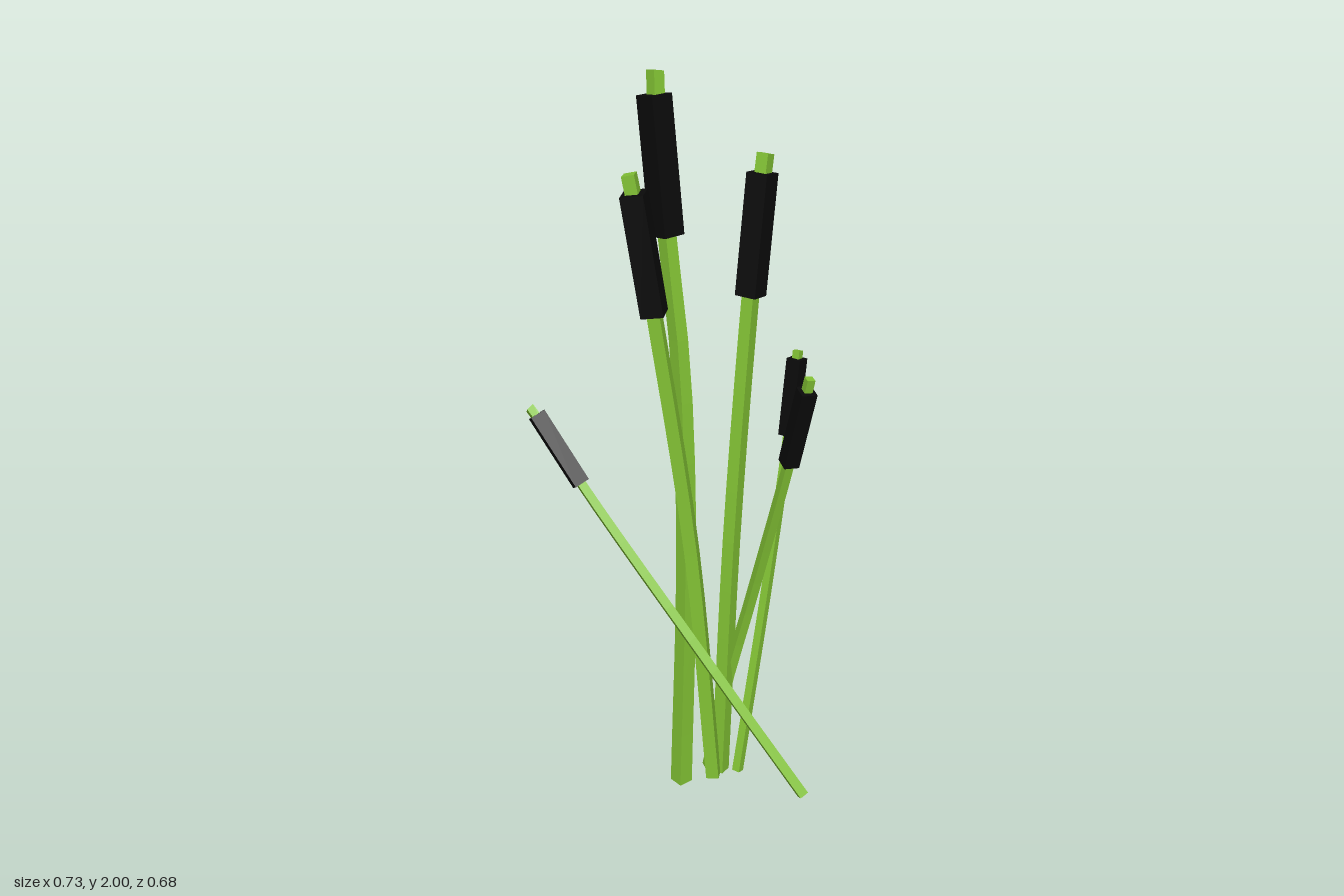
import * as THREE from 'three';

const green = new THREE.MeshStandardMaterial({ color: 0x82c234, flatShading: true });
const black = new THREE.MeshStandardMaterial({ color: 0x0a0a0a, flatShading: true });

// base, bends, head bottom, head top, tip; yaw turns the square section
const reeds = [
  { name: 'tallReed', yaw: -0.22, stem: [0.043, 0.031], head: 0.062, path: [
    [-0.03, 0.003, -0.11], [0.005, 0.75, -0.135], [0.023, 1.25, -0.19],
    [0.018, 1.6, -0.25], [0.015, 1.94, -0.303], [0.025, 1.994, -0.315]] },
  { name: 'backRightReed', yaw: Math.atan2(-0.125, -0.16), stem: [0.036, 0.032], head: 0.058, path: [
    [0.04, 0.04, -0.045], [-0.008, 0.8, -0.083],
    [-0.078, 1.45, -0.135], [-0.114, 1.755, -0.161], [-0.121, 1.8, -0.169]] },
  { name: 'backLeftReed', yaw: Math.atan2(-0.1, 0.175), stem: [0.036, 0.032], head: 0.058, path: [
    [0.07, 0.04, -0.06], [0.117, 0.8, -0.085],
    [0.19, 1.45, -0.129], [0.233, 1.755, -0.153], [0.245, 1.8, -0.16]] },
  { name: 'frontLeftReed', yaw: 0.15, stem: [0.026, 0.021], head: 0.041, path: [
    [0.053, 0.03, -0.1], [0.095, 0.3, -0.08], [0.145, 0.6, -0.033],
    [0.196, 1.06, 0.066], [0.213, 1.28, 0.114], [0.217, 1.315, 0.12]] },
  { name: 'outerLeftReed', yaw: Math.atan2(-0.125, 0.24), stem: [0.023, 0.02], head: 0.04, path: [
    [0.105, 0.05, -0.02], [0.228, 0.6, -0.083],
    [0.311, 1.03, -0.126], [0.341, 1.24, -0.142], [0.346, 1.26, -0.146]] },
  { name: 'leaningReed', yaw: 0.2, stem: [0.025, 0.021], head: 0.04, path: [
    [0.105, 0.215, 0.33], [-0.085, 0.605, 0.092],
    [-0.275, 1.01, -0.175], [-0.342, 1.175, -0.283], [-0.354, 1.19, -0.298]] },
];

// Square bar swept along points, with capped ends
function squareBar(points, tangents, widthStart, widthEnd, yaw) {
  const pos = [], idx = [], n = points.length;
  const side = new THREE.Vector3(Math.cos(yaw), 0, Math.sin(yaw));
  points.forEach((p, i) => {
    const t = tangents[i];
    const u = side.clone().addScaledVector(t, -side.dot(t)).normalize();
    const v = t.clone().cross(u);
    const h = THREE.MathUtils.lerp(widthStart, widthEnd, i / (n - 1)) / 2;
    for (const [a, b] of [[-1, -1], [1, -1], [1, 1], [-1, 1]]) {
      const c = p.clone().addScaledVector(u, a * h).addScaledVector(v, b * h);
      pos.push(c.x, c.y, c.z);
    }
    if (i === 0) return;
    for (let k = 0; k < 4; k++) {
      const a = (i - 1) * 4 + k, b = (i - 1) * 4 + (k + 1) % 4;
      idx.push(a, b, b + 4, a, b + 4, a + 4);
    }
  });
  const e = (n - 1) * 4;
  idx.push(0, 2, 1, 0, 3, 2, e, e + 1, e + 2, e, e + 2, e + 3);
  const indexed = new THREE.BufferGeometry();
  indexed.setAttribute('position', new THREE.Float32BufferAttribute(pos, 3));
  indexed.setIndex(idx);
  const geometry = indexed.toNonIndexed();
  geometry.computeVertexNormals();
  return geometry;
}

function makeReed({ name, yaw, stem, head, path }) {
  const reed = new THREE.Group();
  reed.name = name;
  const pts = path.map((p) => new THREE.Vector3(...p));
  const n = pts.length;

  // Bent stem, running through the head to the tip
  const curve = new THREE.CatmullRomCurve3(pts);
  const along = [], dirs = [];
  for (let i = 0; i <= 12; i++) {
    along.push(curve.getPointAt(i / 12));
    dirs.push(curve.getTangentAt(i / 12));
  }
  const stemMesh = new THREE.Mesh(squareBar(along, dirs, stem[0], stem[1], yaw), green);
  stemMesh.name = 'stem';

  // Straight dark seed head
  const ends = [pts[n - 3], pts[n - 2]];
  const axis = ends[1].clone().sub(ends[0]).normalize();
  const headMesh = new THREE.Mesh(squareBar(ends, [axis, axis], head, head, yaw), black);
  headMesh.name = 'seedHead';

  reed.add(stemMesh, headMesh);
  return reed;
}

export function createModel() {
  const model = new THREE.Group();
  model.name = 'reeds';
  for (const spec of reeds) model.add(makeReed(spec));
  return model;
}
